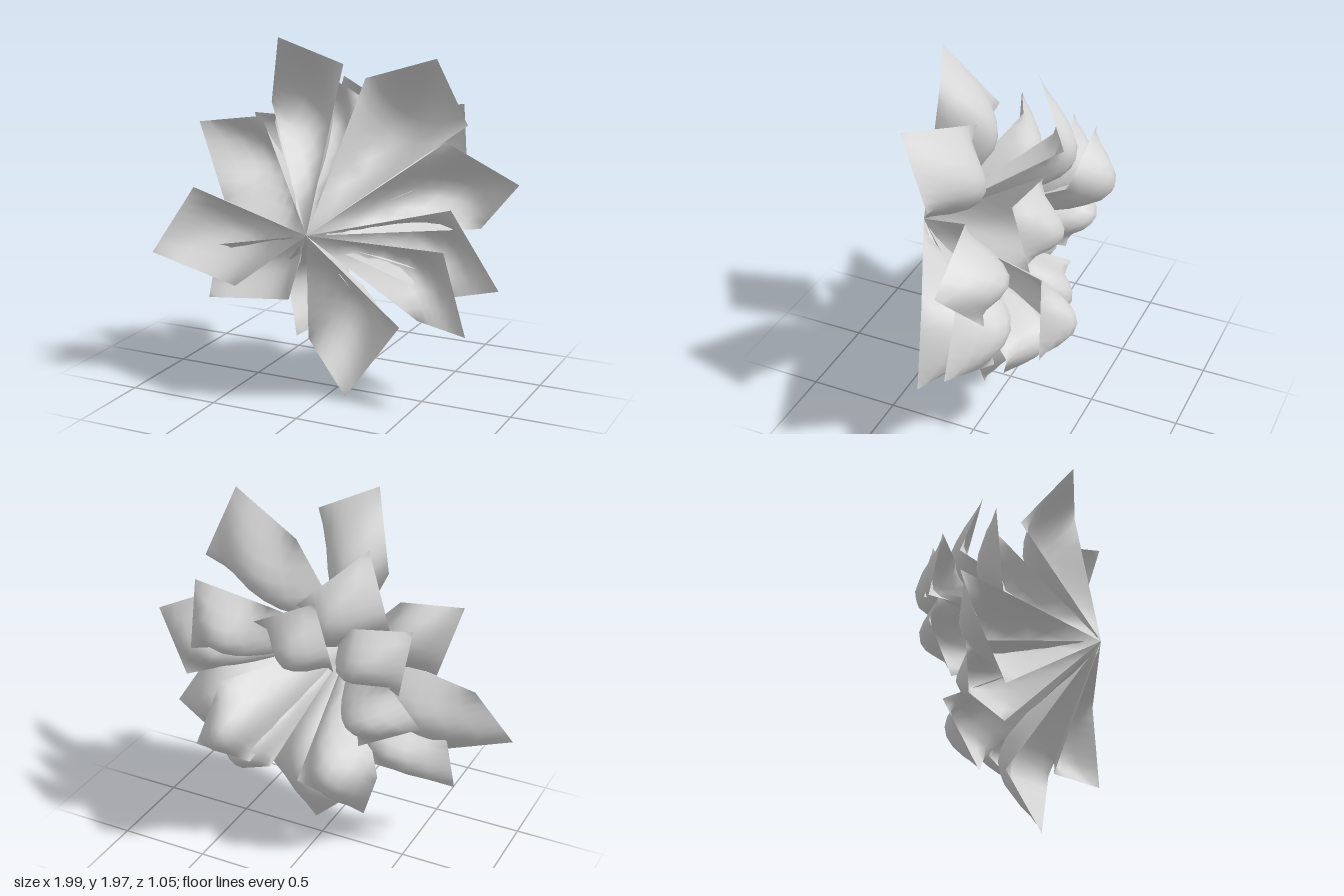
import * as THREE from 'three';

const STEPS = 8;
const base = new THREE.Vector3(0.06, 0.99, 0.49);

// Each leaf: tip x y z, left shoulder x y, right shoulder x y, mean shoulder z,
// and, where the blade is twisted, how far the left shoulder leans forward
const rings = {
  front: [
    [-0.12, 1.97, 0.43, -0.29, 1.60, 0.18, 1.84, 0.25, -0.06],
    [0.66, 1.89, 0.27, 0.20, 1.74, 0.76, 1.54, 0.09],
    [0.80, 0.46, 0.17, 0.68, 0.90, 0.48, 0.46, 0.11, 0.08],
    [0.10, 0, 0.12, 0.38, 0.41, -0.16, 0.27, 0.04],
    [-1, 0.72, 0.28, -0.83, 1.07, -0.52, 0.57, 0.16, -0.05],
    [-0.70, 1.47, 0.24, -0.40, 1.50, -0.57, 1.05, 0.16, -0.06],
  ],
  middle: [
    [0.99, 1.23, -0.05, 0.60, 1.42, 0.74, 0.94, -0.11, 0.08],
    [0.90, 0.66, -0.04, 0.64, 1.07, 0.54, 0.54, -0.08, 0.07],
    [-0.28, 1.82, -0.04, -0.43, 1.43, 0, 1.57, -0.20, 0.1],
    [-0.74, 0.45, 0.12, -0.70, 0.75, -0.26, 0.49, 0.08],
    [-0.28, 0.24, -0.05, -0.42, 0.60, 0.06, 0.44, -0.19],
    [0.43, 0.39, -0.15, 0.58, 0.62, 0.20, 0.52, -0.24],
  ],
  back: [
    [-0.16, 1.66, -0.41, 0.19, 1.48, -0.26, 1.30, -0.40],
    [0.60, 1.58, -0.28, 0.17, 1.51, 0.59, 1.22, -0.32, 0.05],
    [0.56, 0.66, -0.41, 0.42, 1.06, 0.26, 0.60, -0.36],
    [-0.64, 0.94, -0.16, -0.45, 1.20, -0.31, 0.77, -0.20],
    [-0.57, 1.47, -0.13, -0.54, 1.14, -0.20, 1.45, -0.22],
  ],
};

// Four-cornered blade with straight edges, its middle swelling to the back
function leafGeometry([tipX, tipY, tipZ, leftX, leftY, rightX, rightY, shoulderZ, lean = 0]) {
  const tip = new THREE.Vector3(tipX, tipY, tipZ);
  const left = new THREE.Vector3(leftX, leftY, shoulderZ + lean);
  const right = new THREE.Vector3(rightX, rightY, shoulderZ - lean);
  const centre = base.clone().add(tip).add(left).add(right).multiplyScalar(0.25);
  const swell = base.clone().sub(centre).multiplyScalar(0.12);
  swell.z = 0.1 * shoulderZ - 0.28;   // leaves further back are deeper

  const positions = [], index = [];
  for (let i = 0; i <= STEPS; i++) {
    const u = i / STEPS;
    const a = base.clone().lerp(left, u);
    const b = right.clone().lerp(tip, u);
    for (let j = 0; j <= STEPS; j++) {
      const v = j / STEPS;
      const p = a.clone().lerp(b, v).addScaledVector(swell, 16 * u * (1 - u) * v * (1 - v));
      positions.push(p.x, p.y, p.z);
      if (i < STEPS && j < STEPS) {
        const k = i * (STEPS + 1) + j, n = k + STEPS + 1;
        index.push(k, k + 1, n, k + 1, n + 1, n);
      }
    }
  }
  const geometry = new THREE.BufferGeometry();
  geometry.setAttribute('position', new THREE.Float32BufferAttribute(positions, 3));
  geometry.setIndex(index);
  geometry.computeVertexNormals();
  return geometry;
}

export function createModel() {
  const group = new THREE.Group();
  group.name = 'leafCluster';
  const material = new THREE.MeshStandardMaterial({ color: 0xd4d4d4, side: THREE.DoubleSide });
  material.name = 'light grey';
  for (const [ring, leaves] of Object.entries(rings)) {
    leaves.forEach((leaf, i) => {
      const mesh = new THREE.Mesh(leafGeometry(leaf), material);
      mesh.name = `${ring}Leaf${i + 1}`;
      group.add(mesh);
    });
  }
  return group;
}
